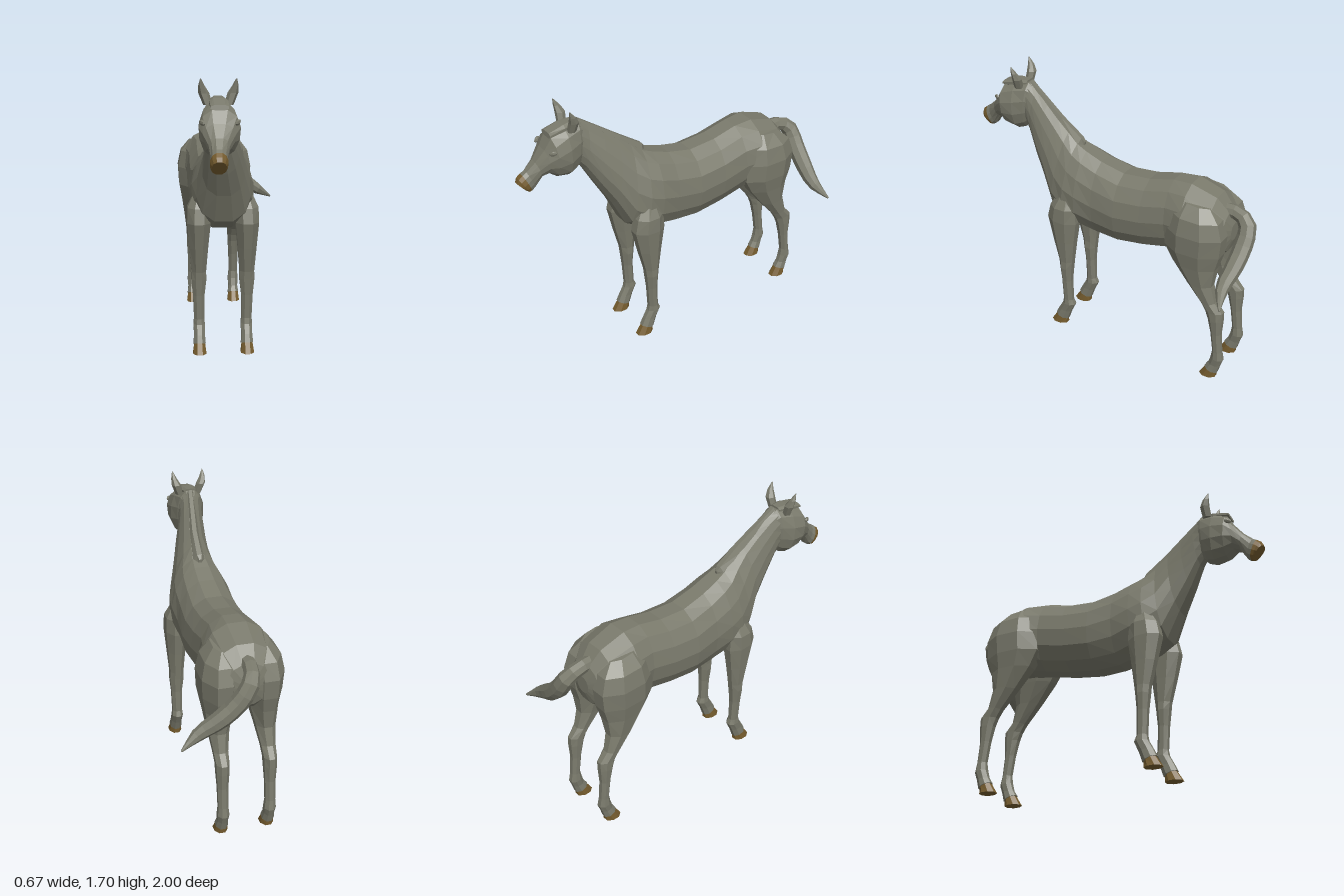
import * as THREE from 'three';

const V = (x, y, z) => new THREE.Vector3(x, y, z);
const MID = -0.09; // centre line of the trunk

// Skin a list of closed rings into a faceted, capped solid facing outwards
function loft(rings) {
  const n = rings[0].length, tris = [];
  const centre = r => r.reduce((s, p) => s.add(p), V(0, 0, 0)).divideScalar(n);
  for (let i = 0; i < rings.length - 1; i++) {
    for (let j = 0; j < n; j++) {
      const k = (j + 1) % n, a = rings[i][j], b = rings[i][k], c = rings[i + 1][k], d = rings[i + 1][j];
      tris.push([a, b, c], [a, c, d]);
    }
  }
  const first = rings[0], last = rings[rings.length - 1], c0 = centre(first), c1 = centre(last);
  for (let j = 0; j < n; j++) {
    const k = (j + 1) % n;
    tris.push([c0, first[k], first[j]], [c1, last[j], last[k]]);
  }
  let volume = 0;
  for (const [a, b, c] of tris) volume += a.dot(b.clone().cross(c));
  const points = tris.flatMap(t => (volume < 0 ? [t[0], t[2], t[1]] : t));
  const g = new THREE.BufferGeometry().setFromPoints(points);
  g.computeVertexNormals();
  return g;
}

// Upright ring: [centre x, top z, top y, bottom z, bottom y, half width, narrowing to the top]
function section([cx, zt, yt, zb, yb, hw, egg = 0], sides = 14, power = 0.88) {
  const round = v => Math.sign(v) * Math.abs(v) ** power;
  return Array.from({ length: sides }, (_, i) => {
    const a = ((i + 0.5) / sides) * Math.PI * 2 + Math.PI / 2;
    const s = Math.sin(a) / Math.cos(Math.PI / sides), c = round(Math.cos(a));
    return V(cx + hw * c * (1 - egg * s), (yt + yb) / 2 + ((yt - yb) / 2) * s,
      (zt + zb) / 2 + ((zt - zb) / 2) * s);
  });
}

// Level ring for limbs: [front y, back y, front z, back z, inner x, outer x]
function slice([yf, yb, zf, zb, xi, xo], side, sides = 8) {
  return Array.from({ length: sides }, (_, i) => {
    const a = ((i + 0.5) / sides) * Math.PI * 2, k = 1 / Math.cos(Math.PI / sides);
    const s = Math.sin(a) * k, c = Math.cos(a) * k;
    return V(MID + side * ((xi + xo) / 2 + ((xo - xi) / 2) * c),
      (yf + yb) / 2 + ((yf - yb) / 2) * s, (zf + zb) / 2 + ((zf - zb) / 2) * s);
  });
}

export function createModel() {
  const model = new THREE.Group();
  model.name = 'horse';
  const coat = new THREE.MeshStandardMaterial({ color: 0x7a7a6c });
  coat.name = 'grey coat';
  const horn = new THREE.MeshStandardMaterial({ color: 0x755c2e });
  horn.name = 'brown horn';
  const add = (name, geometry, material = coat) => {
    const mesh = new THREE.Mesh(geometry, material);
    mesh.name = name;
    model.add(mesh);
    return mesh;
  };

  // Trunk and neck
  add('body', loft([
    [MID, -0.845, 1.04, -0.845, 0.93, 0.05],
    [MID, -0.82, 1.12, -0.825, 0.86, 0.13],
    [MID, -0.745, 1.205, -0.77, 0.81, 0.19],
    [MID, -0.58, 1.255, -0.6, 0.8, 0.215],
    [MID, -0.46, 1.245, -0.48, 0.78, 0.19],
    [MID, -0.3, 1.205, -0.3, 0.74, 0.193],
    [MID, -0.12, 1.19, -0.12, 0.715, 0.195],
    [MID, 0.04, 1.225, 0.04, 0.72, 0.185],
    [MID, 0.15, 1.265, 0.17, 0.75, 0.192, 0.1],
    [MID, 0.22, 1.295, 0.27, 0.78, 0.185, 0.2],
    [MID, 0.29, 1.35, 0.36, 0.83, 0.155, 0.3],
    [-0.095, 0.37, 1.41, 0.44, 1.0, 0.12, 0.3],
    [-0.11, 0.46, 1.48, 0.52, 1.14, 0.098, 0.25],
    [-0.13, 0.55, 1.55, 0.59, 1.27, 0.08, 0.15],
    [-0.138, 0.6, 1.585, 0.63, 1.32, 0.075],
  ].map(s => section(s))));

  // Head, with a brown muzzle tip
  add('head', loft([
    [-0.135, 0.57, 1.56, 0.6, 1.32, 0.06],
    [-0.138, 0.61, 1.59, 0.64, 1.285, 0.085],
    [-0.14, 0.7, 1.575, 0.69, 1.268, 0.112],
    [-0.14, 0.79, 1.54, 0.765, 1.28, 0.115, -0.1],
    [-0.144, 0.83, 1.47, 0.815, 1.315, 0.09, -0.1],
    [-0.148, 0.885, 1.4, 0.855, 1.3, 0.06],
    [-0.152, 0.94, 1.35, 0.895, 1.235, 0.047],
    [-0.154, 0.965, 1.335, 0.915, 1.22, 0.05],
  ].map(s => section(s, 12, 0.8))));
  add('muzzleTip', loft([
    [-0.154, 0.965, 1.335, 0.915, 1.22, 0.05],
    [-0.155, 0.99, 1.315, 0.93, 1.215, 0.048],
    [-0.155, 1.0, 1.29, 0.94, 1.225, 0.04],
  ].map(s => section(s, 12, 0.8))), horn);

  // Mane ridge along the neck and forelock between the ears
  add('mane', loft([
    [MID, 0.185, 1.3, 0.19, 1.24, 0.012],
    [MID, 0.205, 1.325, 0.23, 1.25, 0.04, 0.3],
    [-0.097, 0.35, 1.425, 0.38, 1.34, 0.036, 0.3],
    [-0.118, 0.48, 1.515, 0.51, 1.44, 0.033, 0.3],
    [-0.136, 0.6, 1.598, 0.62, 1.53, 0.03, 0.3],
  ].map(s => section(s, 6))));
  add('forelock', loft([
    [-0.14, 0.62, 1.6, 0.62, 1.56, 0.04],
    [-0.14, 0.7, 1.595, 0.7, 1.55, 0.055],
    [-0.14, 0.795, 1.568, 0.8, 1.54, 0.052],
  ].map(s => section(s, 8, 0.6))));

  for (const side of [1, -1]) {
    const label = side > 0 ? 'left' : 'right';

    // Ears
    const ear = [[1.555, 0.665, 0.058, 0.026, 0.028], [1.62, 0.66, 0.08, 0.03, 0.03],
      [1.66, 0.672, 0.093, 0.018, 0.02], [1.7, 0.69, 0.098, 0.003, 0.003]];
    add(label + 'Ear', loft(ear.map(([y, z, x, rx, rz]) =>
      Array.from({ length: 6 }, (_, i) => {
        const a = (i / 6) * Math.PI * 2;
        return V(-0.14 + side * (x + rx * Math.cos(a)), y, z + rz * Math.sin(a));
      }))));

    // Brow and eyelid
    const eye = new THREE.SphereGeometry(1, 6, 4).toNonIndexed();
    eye.computeVertexNormals();
    const lid = add(label + 'Eye', eye);
    lid.scale.set(0.012, 0.016, 0.026);
    lid.position.set(-0.14 + side * 0.097, 1.475, 0.808);
    lid.rotation.set(0.3, -side * 0.5, 0);

    // Front leg
    add(label + 'FrontLeg', loft([
      [1.02, 1.0, 0.27, 0.2, 0.1, 0.16],
      [0.9, 0.9, 0.34, 0.16, 0.07, 0.212],
      [0.81, 0.8, 0.36, 0.155, 0.075, 0.215],
      [0.65, 0.65, 0.325, 0.175, 0.09, 0.202],
      [0.5, 0.5, 0.288, 0.192, 0.102, 0.19],
      [0.45, 0.45, 0.282, 0.198, 0.1, 0.192],
      [0.35, 0.35, 0.272, 0.205, 0.112, 0.182],
      [0.2, 0.2, 0.264, 0.2, 0.114, 0.176],
      [0.165, 0.165, 0.27, 0.185, 0.11, 0.18],
      [0.11, 0.1, 0.3, 0.215, 0.112, 0.178],
      [0.065, 0.035, 0.322, 0.238, 0.108, 0.182],
    ].map(s => slice(s, side))));
    add(label + 'FrontHoof', loft([
      [0.065, 0.035, 0.315, 0.245, 0.112, 0.178],
      [0.0, 0.0, 0.355, 0.245, 0.105, 0.186],
    ].map(s => slice(s, side))), horn);

    // Hind leg, from the haunch down
    add(label + 'HindLeg', loft([
      [1.19, 1.17, -0.55, -0.74, 0.06, 0.165],
      [1.11, 1.1, -0.5, -0.81, 0.04, 0.222],
      [1.0, 1.0, -0.475, -0.842, 0.025, 0.243],
      [0.88, 0.88, -0.475, -0.832, 0.03, 0.236],
      [0.78, 0.78, -0.53, -0.805, 0.05, 0.218],
      [0.65, 0.66, -0.63, -0.79, 0.08, 0.2],
      [0.53, 0.55, -0.73, -0.82, 0.1, 0.186],
      [0.48, 0.49, -0.76, -0.872, 0.104, 0.182],
      [0.43, 0.43, -0.78, -0.873, 0.106, 0.182],
      [0.33, 0.33, -0.803, -0.868, 0.112, 0.176],
      [0.2, 0.2, -0.822, -0.88, 0.114, 0.174],
      [0.15, 0.14, -0.815, -0.892, 0.108, 0.178],
      [0.1, 0.09, -0.8, -0.875, 0.112, 0.174],
      [0.065, 0.035, -0.778, -0.86, 0.106, 0.18],
    ].map(s => slice(s, side))));
    add(label + 'HindHoof', loft([
      [0.065, 0.035, -0.785, -0.853, 0.11, 0.176],
      [0.0, 0.0, -0.745, -0.85, 0.102, 0.184],
    ].map(s => slice(s, side))), horn);
  }

  // Tail, swung out to the left and tapering to a point
  const tail = [[MID, 1.115, -0.78, 0.045], [MID, 1.112, -0.87, 0.042], [-0.065, 1.06, -0.935, 0.052],
    [0.0, 0.96, -0.942, 0.056], [0.1, 0.865, -0.935, 0.054], [0.22, 0.785, -0.925, 0.042], [0.33, 0.715, -0.965, 0.006]];
  const path = new THREE.CatmullRomCurve3(tail.map(([x, y, z]) => V(x, y, z)));
  const steps = 12, frames = path.computeFrenetFrames(steps);
  add('tail', loft(Array.from({ length: steps + 1 }, (_, i) => {
    const t = path.getUtoTmapping(i / steps), f = t * (tail.length - 1);
    const k = Math.min(Math.floor(f), tail.length - 2);
    const r = THREE.MathUtils.lerp(tail[k][3], tail[k + 1][3], f - k);
    return Array.from({ length: 8 }, (_, j) => {
      const a = (j / 8) * Math.PI * 2;
      return path.getPoint(t).addScaledVector(frames.normals[i], r * Math.cos(a))
        .addScaledVector(frames.binormals[i], r * Math.sin(a));
    });
  })));

  return model;
}
